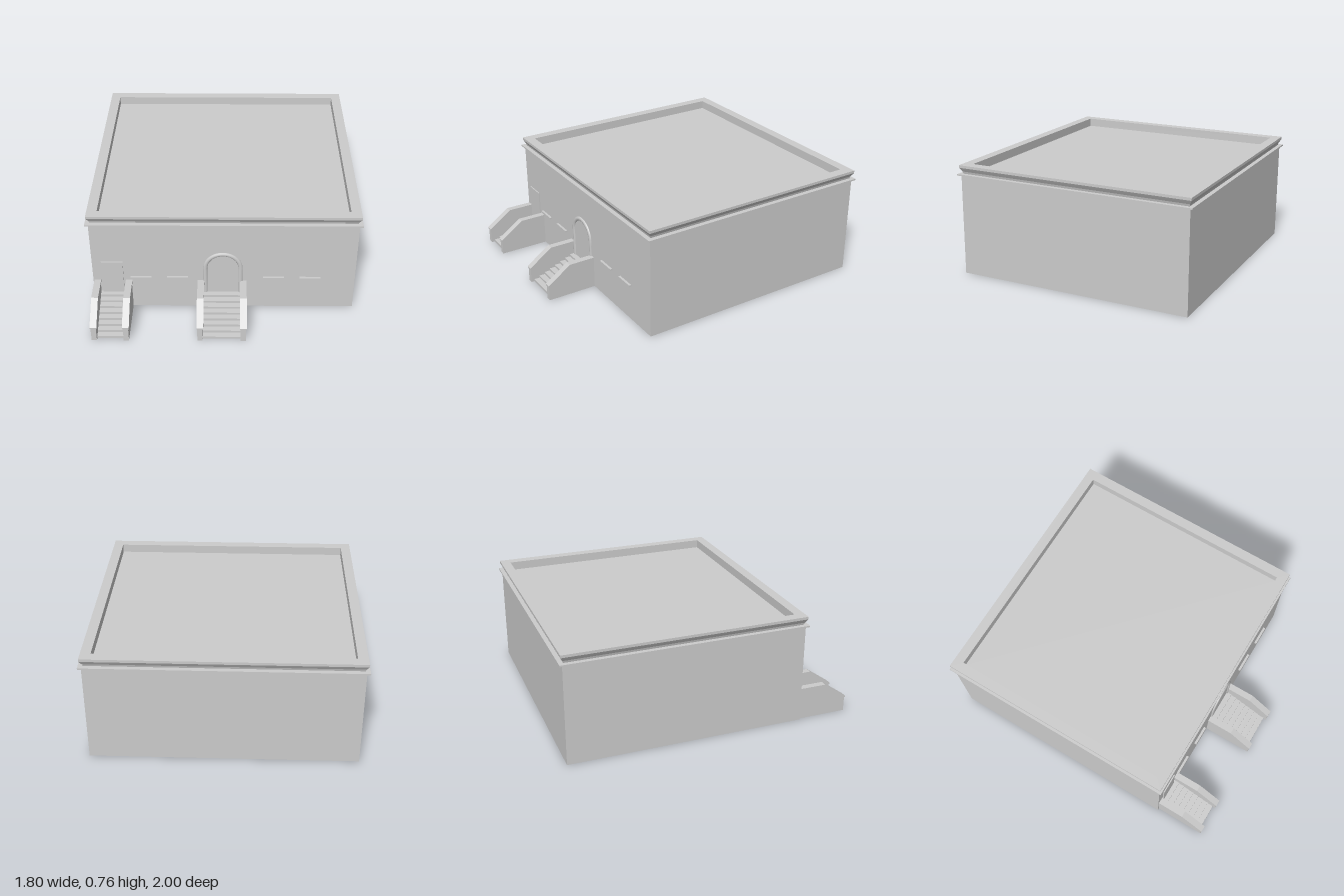
import * as THREE from 'three';

const FRONT = 0.65; // z of the front wall
const mat = new THREE.MeshStandardMaterial({ color: 0xcccccc, side: THREE.DoubleSide });

function add(group, name, geometry, x = 0, y = 0, z = 0) {
  const mesh = new THREE.Mesh(geometry, mat);
  mesh.name = name;
  mesh.position.set(x, y, z);
  group.add(mesh);
}

// Stack of rectangular rings [outward offset from the wall, y], capped at both ends
function rectLoft(rings) {
  const pos = [];
  const corners = ([o, y]) => [[1, 1], [1, -1], [-1, -1], [-1, 1]].map(
    ([sx, sz]) => [sx * (0.88 + o), y, -0.165 + sz * (0.815 + o)]);
  const quad = (a, b, c, d) => pos.push(...a, ...b, ...c, ...a, ...c, ...d);
  for (let i = 0; i < rings.length - 1; i++) {
    const lo = corners(rings[i]), hi = corners(rings[i + 1]);
    for (let k = 0; k < 4; k++) {
      const n = (k + 1) % 4;
      quad(lo[k], lo[n], hi[n], hi[k]);
    }
  }
  quad(...corners(rings[0]).reverse());
  quad(...corners(rings[rings.length - 1]));
  const g = new THREE.BufferGeometry();
  g.setAttribute('position', new THREE.Float32BufferAttribute(pos, 3));
  g.computeVertexNormals();
  return g;
}

// Side profile of [z, y] points extruded along x between x0 and x1
function sideExtrude(points, x0, x1) {
  const shape = new THREE.Shape(points.map(([z, y]) => new THREE.Vector2(-z, y)));
  const g = new THREE.ExtrudeGeometry(shape, { depth: x1 - x0, bevelEnabled: false });
  g.rotateY(Math.PI / 2);
  g.translate(x0, 0, 0);
  return g;
}

// Straight stair between two sloping side walls with caps
function stairs(name, x0, x1) {
  const group = new THREE.Group();
  group.name = name;
  const count = 8, zStart = 0.975, rise = 0.13 / count, run = (zStart - FRONT) / count;
  const steps = [[zStart, 0]];
  for (let i = 0; i < count; i++) {
    const z = zStart - i * run, y = (i + 1) * rise;
    steps.push([z, y], [z - run, y]);
  }
  steps.push([FRONT, 0.11], [zStart - 0.04, 0]);
  add(group, 'steps', sideExtrude(steps, x0 + 0.035, x1 - 0.035));

  const wall = [[FRONT, 0], [0.996, 0], [0.996, 0.105], [0.83, 0.218], [FRONT, 0.218]];
  const cap = [[FRONT, 0.214], [0.828, 0.214], [0.995, 0.102], [1, 0.102], [1, 0.112], [0.835, 0.228], [FRONT, 0.228]];
  for (const [a, b] of [[x0, x0 + 0.045], [x1 - 0.045, x1]]) {
    add(group, 'sideWall', sideExtrude(wall, a + 0.005, b - 0.005));
    add(group, 'wallCap', sideExtrude(cap, a, b));
  }
  return group;
}

// Round-topped outline standing on y0, with its arch centred at yc
function archOutline(r, y0, yc) {
  const s = new THREE.Shape();
  s.moveTo(-r, y0);
  s.lineTo(r, y0);
  s.lineTo(r, yc);
  s.absarc(0, yc, r, 0, Math.PI, false);
  s.lineTo(-r, y0);
  return s;
}

export function createModel() {
  const model = new THREE.Group();
  model.name = 'building';

  // Main block, thin ledge, and flared parapet around a sunken roof
  add(model, 'walls', rectLoft([[0, 0], [0, 0.69]]));
  add(model, 'ledge', rectLoft([[0, 0.69], [0.02, 0.69], [0.02, 0.7], [-0.01, 0.7]]));
  add(model, 'parapetAndRoof', rectLoft([
    [-0.01, 0.7], [-0.006, 0.715], [0.003, 0.73], [0.01, 0.742], [0.01, 0.76],
    [-0.057, 0.76], [-0.057, 0.701],
  ]));

  // Side door and arched main door
  add(model, 'sideDoor', new THREE.BoxGeometry(0.145, 0.255, 0.016), -0.7475, 0.2575, FRONT);
  const arch = new THREE.Group();
  arch.name = 'mainDoor';
  arch.position.set(-0.007, 0, FRONT);
  add(arch, 'doorPanel', new THREE.ExtrudeGeometry(archOutline(0.112, 0.13, 0.335),
    { depth: 0.003, bevelEnabled: false, curveSegments: 24 }));

  // Rounded moulding around the arch, flattened against the wall
  const path = new THREE.CurvePath();
  const v = (x, y) => new THREE.Vector3(x, y, 0);
  const arc = [];
  for (let i = 0; i <= 16; i++) {
    const t = Math.PI * i / 16;
    arc.push(v(0.118 * Math.cos(t), 0.335 + 0.115 * Math.sin(t)));
  }
  path.add(new THREE.LineCurve3(v(0.118, 0.13), v(0.118, 0.335)));
  path.add(new THREE.CatmullRomCurve3(arc));
  path.add(new THREE.LineCurve3(v(-0.118, 0.335), v(-0.118, 0.13)));
  const moulding = new THREE.TubeGeometry(path, 64, 0.015, 10, false);
  moulding.scale(1, 1, 0.75);
  add(arch, 'archMoulding', moulding);
  model.add(arch);

  // Thin sills along the front wall
  for (const x of [-0.557, -0.312, 0.333, 0.578]) {
    add(model, 'windowSill', new THREE.BoxGeometry(0.14, 0.012, 0.02), x, 0.256, FRONT + 0.006);
  }

  model.add(stairs('sideStairs', -0.873, -0.617));
  model.add(stairs('mainStairs', -0.177, 0.152));
  return model;
}
